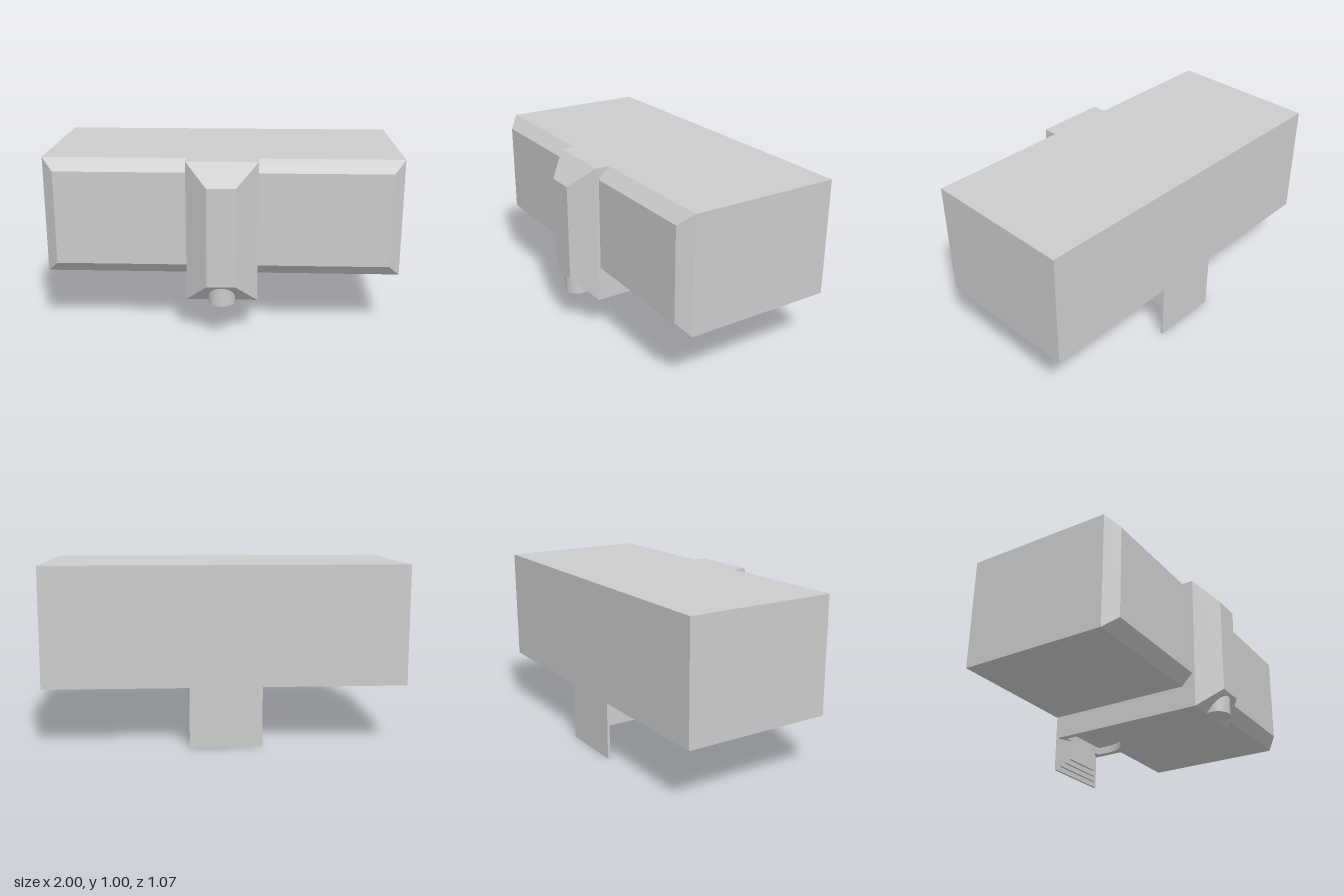
import * as THREE from 'three';

const material = new THREE.MeshStandardMaterial({ color: 0xcccccc, flatShading: true });
const smooth = new THREE.MeshStandardMaterial({ color: 0xcccccc });

// Closed block lofted along +z through rectangles [halfWidth, yBottom, yTop, z]
function loft(sections) {
  const rings = sections.map(([w, y0, y1, z]) => [[-w, y0, z], [w, y0, z], [w, y1, z], [-w, y1, z]]);
  const positions = [];
  const quad = (a, b, c, d) => positions.push(...a, ...b, ...c, ...a, ...c, ...d);
  for (let i = 0; i < rings.length - 1; i++) {
    for (let j = 0; j < 4; j++) {
      const k = (j + 1) % 4;
      quad(rings[i][j], rings[i][k], rings[i + 1][k], rings[i + 1][j]);
    }
  }
  const [first, last] = [rings[0], rings[rings.length - 1]];
  quad(first[3], first[2], first[1], first[0]);
  quad(...last);
  const geometry = new THREE.BufferGeometry();
  geometry.setAttribute('position', new THREE.Float32BufferAttribute(positions, 3));
  geometry.computeVertexNormals();
  return geometry;
}

export function createModel() {
  const model = new THREE.Group();
  const add = (name, geometry, mat = material) => {
    const mesh = new THREE.Mesh(geometry, mat);
    mesh.name = name;
    model.add(mesh);
    return mesh;
  };
  const back = -0.535;

  // Wide housing with a bevelled front
  add('housing', loft([
    [1, 0.335, 1, back], [1, 0.335, 1, 0.335], [0.933, 0.402, 0.933, 0.4],
  ]));

  // Central column with a deeper bevel
  add('frontColumn', loft([
    [0.2, 0.2, 1, 0.335], [0.2, 0.2, 1, 0.415], [0.08, 0.32, 0.88, 0.535],
  ]));

  // Keel under the housing, with a shallow round recess near the back plate
  const keel = new THREE.Shape([
    [-0.2, -0.335], [0.2, -0.335], [0.2, -back], [-0.2, -back],
  ].map(([x, y]) => new THREE.Vector2(x, y)));
  const recess = new THREE.Path();
  recess.moveTo(0.165, 0.48);
  recess.lineTo(0.165, 0.4);
  recess.absarc(0, 0.4, 0.165, 0, Math.PI, true);
  recess.lineTo(-0.165, 0.48);
  recess.closePath();
  keel.holes.push(recess);
  const keelGeometry = new THREE.ExtrudeGeometry(keel, { depth: 0.135, bevelEnabled: false, curveSegments: 24 });
  keelGeometry.rotateX(-Math.PI / 2);
  add('keel', keelGeometry).position.y = 0.2;
  const ceiling = add('recessCeiling', new THREE.BoxGeometry(0.38, 0.08, 0.34));
  ceiling.position.set(0, 0.285, -0.36);

  // Short round nozzle emerging from the lower bevel
  const nozzle = add('nozzle', new THREE.CylinderGeometry(0.075, 0.075, 0.11, 32), smooth);
  nozzle.position.set(0, 0.256, 0.447);

  // Stepped back plate, each layer smaller and further forward
  const layers = [[0.2, 0, -0.521], [0.172, 0.028, -0.507], [0.147, 0.055, -0.494], [0.12, 0.083, -0.48]];
  layers.forEach(([w, y, z], i) => {
    const start = i ? layers[i - 1][2] : back;
    add('backPlateLayer' + (i + 1), loft([[w, y, 0.2, start], [w, y, 0.2, z]]));
  });

  return model;
}
